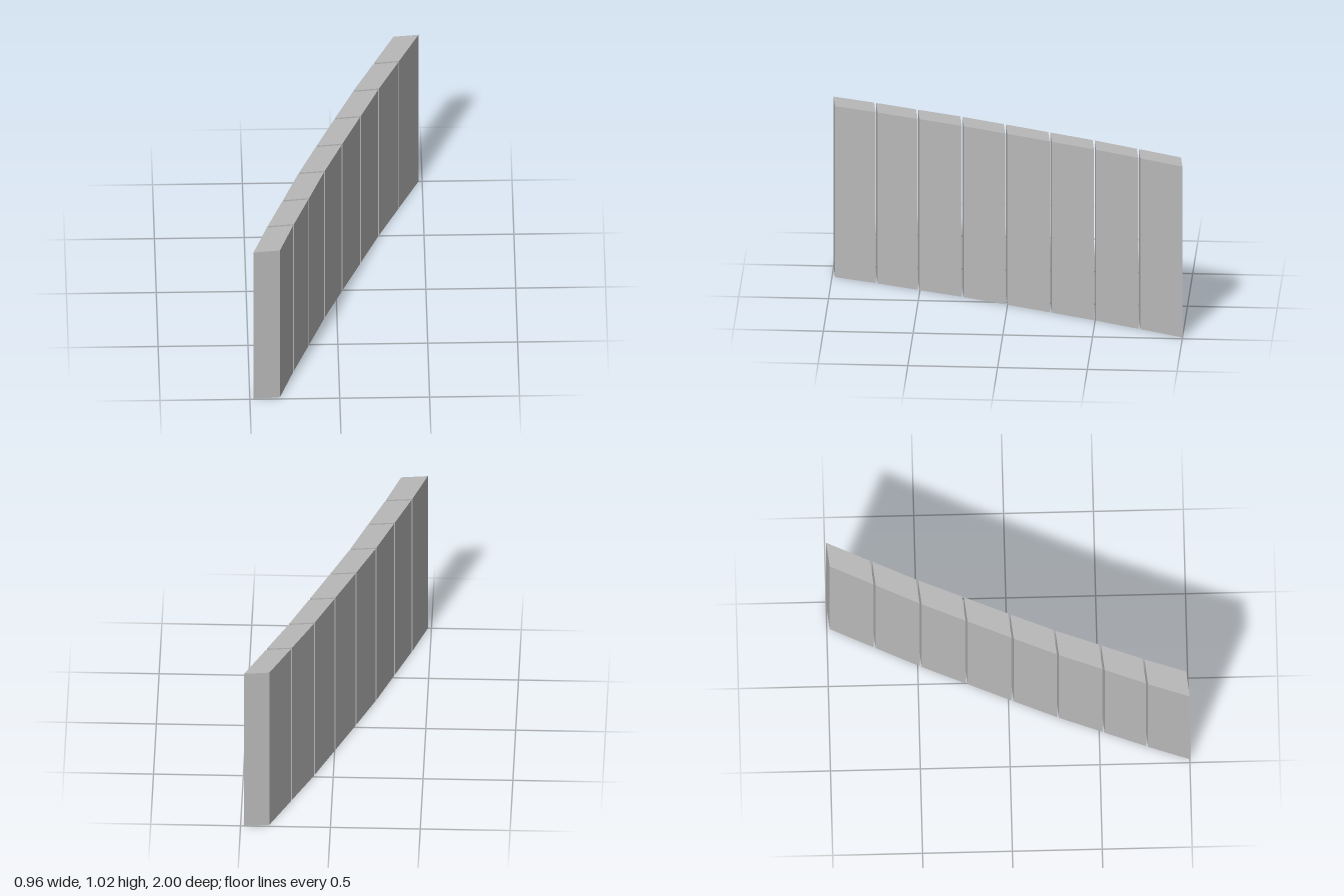
import * as THREE from 'three';

const HEIGHT = 1.02;
const GAP = new THREE.Vector2(-0.005, 0.012);

// Joints along the right-hand face of the gently curved wall, as (x, z), back to front
const JOINTS = [
  [0.48, -1.0], [0.367, -0.759], [0.25, -0.506], [0.143, -0.253], [0.036, 0.001],
  [-0.067, 0.25], [-0.16, 0.502], [-0.249, 0.741], [-0.332, 0.983],
].map(([x, z]) => new THREE.Vector2(x, z));

// Skewed thickness of the wall, growing slightly towards the front
const thicknessAt = (t) => new THREE.Vector2(-0.14 - 0.008 * t, 0.016 + 0.001 * t);

// Upright prism over a four-cornered footprint given in (x, z)
function prism(corners) {
  const shape = new THREE.Shape(corners.map((p) => new THREE.Vector2(p.x, -p.y)));
  const geometry = new THREE.ExtrudeGeometry(shape, { depth: HEIGHT, bevelEnabled: false });
  return geometry.rotateX(-Math.PI / 2);
}

export function createModel() {
  const model = new THREE.Group();
  model.name = 'curvedPanelWall';
  const grey = new THREE.MeshStandardMaterial({ color: 0xb8b8b8 });
  grey.name = 'plainGrey';

  const count = JOINTS.length - 1;
  for (let i = 0; i < count; i++) {
    // Each panel starts just past the joint, leaving a narrow open slit
    const back = JOINTS[i].clone();
    if (i > 0) back.add(GAP);
    const front = JOINTS[i + 1];
    const panel = new THREE.Mesh(prism([
      back,
      front,
      front.clone().add(thicknessAt((i + 1) / count)),
      back.clone().add(thicknessAt(i / count)),
    ]), grey);
    panel.name = `wallPanel${i + 1}`;
    model.add(panel);
  }
  return model;
}
